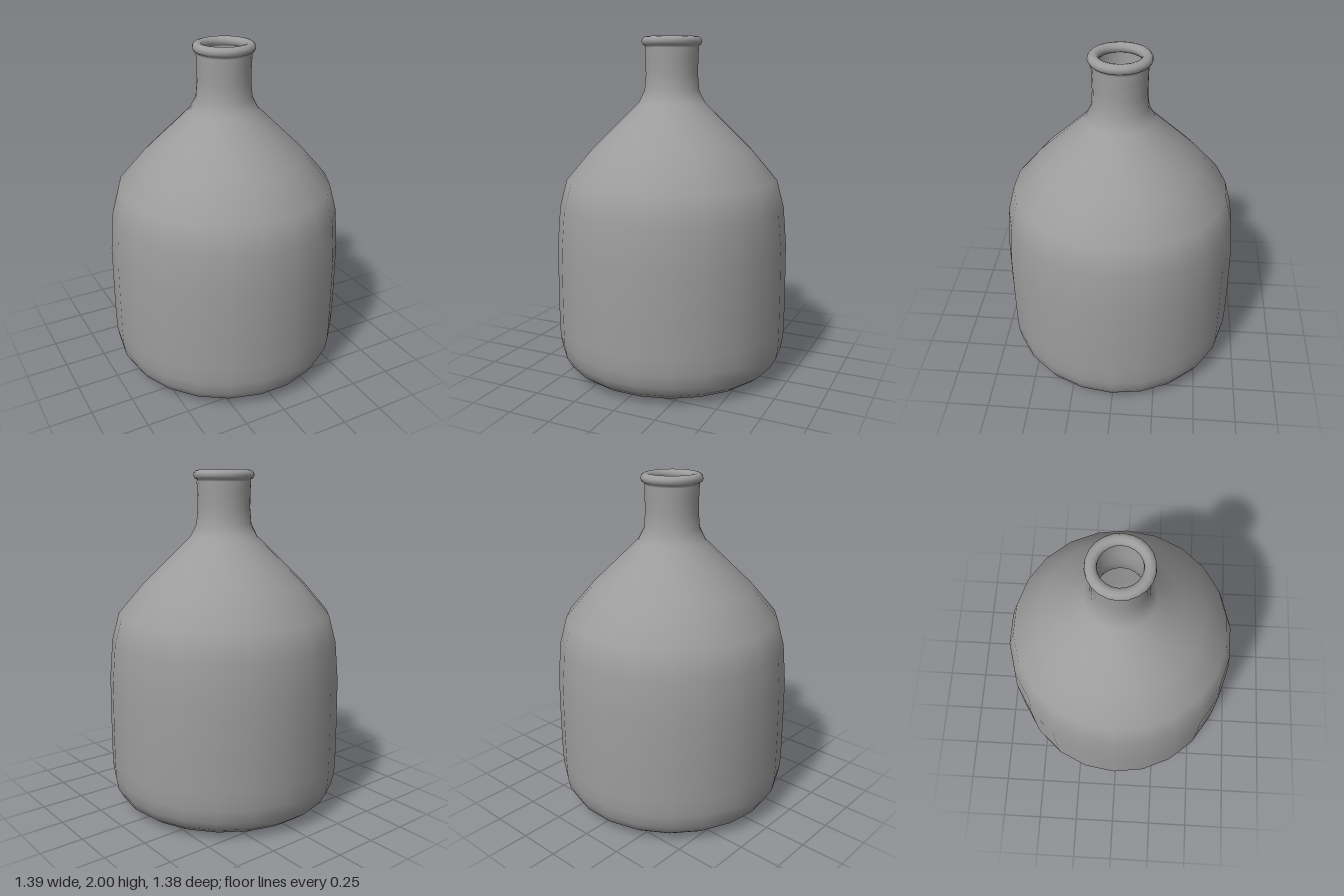
import * as THREE from 'three';

const SIDES = 22;

// Lip cross-section: a rounded bead from the outer neck over to the inner neck
function lipBead() {
  const points = [];
  for (let i = 0; i <= 10; i++) {
    const a = THREE.MathUtils.degToRad(-75 + i * 33);
    points.push([0.146 + 0.032 * Math.cos(a), 1.971 + 0.029 * Math.sin(a)]);
  }
  return points;
}

export function createModel() {
  const group = new THREE.Group();
  group.name = 'bottle';

  // Outer wall from the centre of the base up to the neck
  const outer = [
    [0, 0], [0.3, 0], [0.46, 0.002], [0.53, 0.008], [0.595, 0.028], [0.645, 0.066],
    [0.678, 0.125], [0.691, 0.2], [0.694, 0.3], [0.694, 0.5], [0.691, 0.78],
    [0.671, 1.01], [0.628, 1.17], [0.474, 1.35], [0.335, 1.485], [0.197, 1.62],
    [0.162, 1.69], [0.154, 1.78], [0.155, 1.87], [0.158, 1.935],
  ];

  // Inner wall from the neck opening back down to the floor
  const inner = [
    [0.119, 1.87], [0.119, 1.77], [0.127, 1.69], [0.167, 1.615], [0.454, 1.335],
    [0.605, 1.16], [0.648, 1.005], [0.668, 0.78], [0.67, 0.3], [0.665, 0.2],
    [0.633, 0.11], [0.572, 0.05], [0.46, 0.025], [0, 0.022],
  ];

  const profile = [...outer, ...lipBead(), ...inner].map(([r, y]) => new THREE.Vector2(r, y));
  const glass = new THREE.Mesh(
    new THREE.LatheGeometry(profile, SIDES, Math.PI / 2 - 0.01),
    new THREE.MeshStandardMaterial({ color: 0x9c9c9c }),
  );
  glass.name = 'bottleWall';
  group.add(glass);

  return group;
}
